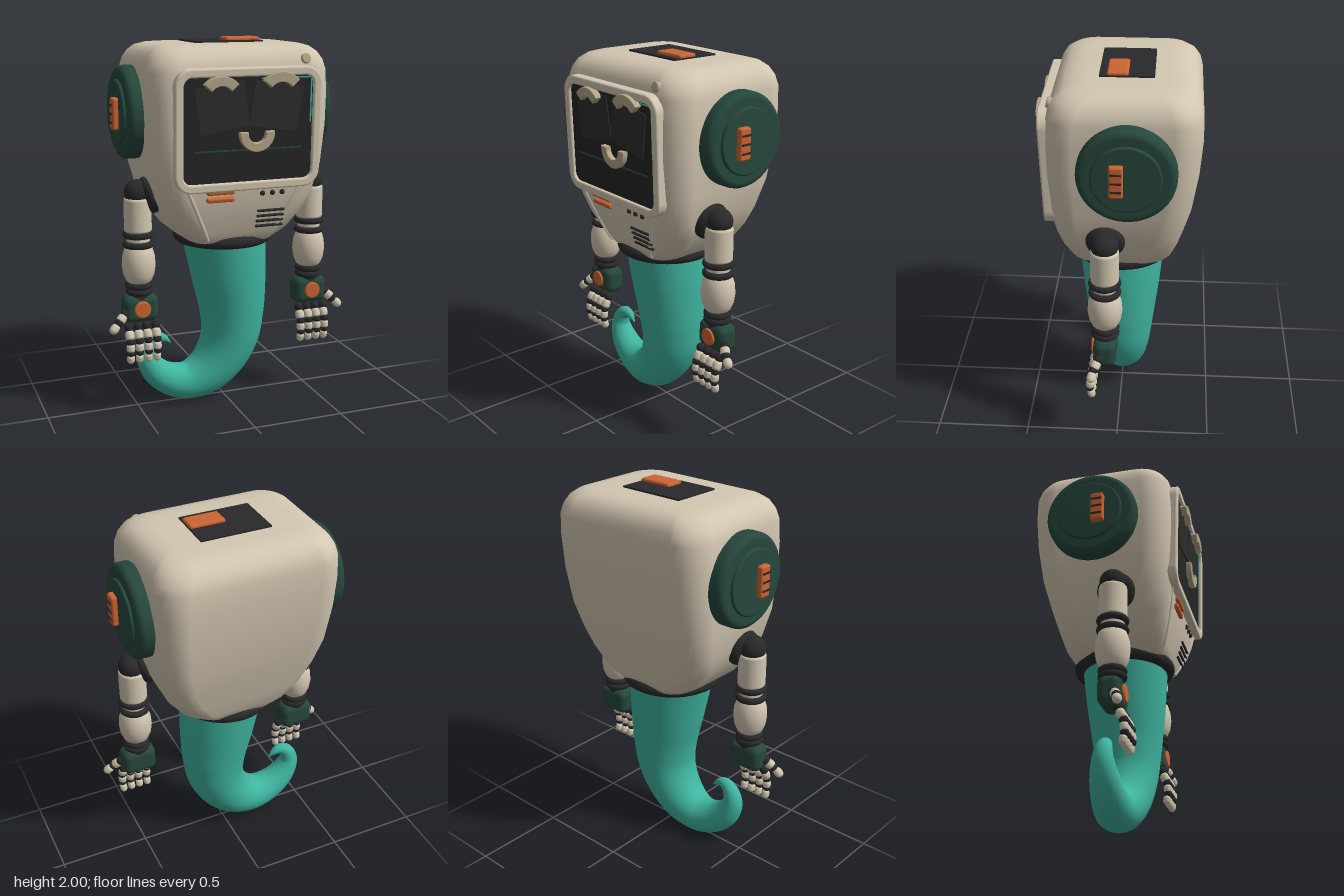
import * as THREE from 'three';
import { mergeVertices } from 'three/addons/utils/BufferGeometryUtils.js';
import { RoundedBoxGeometry } from 'three/addons/geometries/RoundedBoxGeometry.js';

const mat = (name, color) => Object.assign(new THREE.MeshStandardMaterial({ color }), { name });
const cream = mat('cream', 0xd3c7b1), tan = mat('tan', 0xb5a78a), black = mat('black', 0x29292b);
const screenGrey = mat('screenGrey', 0x252527), panelGrey = mat('panelGrey', 0x2d2d2e);
const green = mat('darkGreen', 0x26473c), teal = mat('teal', 0x3fb5a0), orange = mat('orange', 0xcb6433);
const V = (x, y, z = 0) => new THREE.Vector3(x, y, z);

function add(parent, name, geo, material, x = 0, y = 0, z = 0) {
  const m = new THREE.Mesh(geo, material);
  m.name = name;
  m.position.set(x, y, z);
  parent.add(m);
  return m;
}
const box = (w, h, d, r) => new RoundedBoxGeometry(w, h, d, 4, r);
const lathe = (pts, seg = 40) => new THREE.LatheGeometry(pts.map(p => new THREE.Vector2(p[0], p[1])), seg);
// Round puck along +y with a rounded rim on both ends
function puck(r, h, b, seg = 40) {
  const pts = [[0, 0]];
  for (let i = 0; i <= 5; i++) { const a = i * Math.PI / 10; pts.push([r - b + b * Math.sin(a), b - b * Math.cos(a)]); }
  for (let i = 0; i <= 5; i++) { const a = i * Math.PI / 10; pts.push([r - b + b * Math.cos(a), h - b + b * Math.sin(a)]); }
  pts.push([0, h]);
  return lathe(pts, seg);
}
// Rounded rectangle outline
function roundRect(w, h, r, Type = THREE.Shape) {
  const s = new Type(), x = w / 2, y = h / 2, q = Math.PI / 2;
  s.absarc(x - r, y - r, r, 0, q);
  s.absarc(-x + r, y - r, r, q, 2 * q);
  s.absarc(-x + r, -y + r, r, 2 * q, 3 * q);
  s.absarc(x - r, -y + r, r, 3 * q, 4 * q);
  s.closePath();
  return s;
}
// Banded arc for brows and smile
function arcBand(r0, r1, a0, a1, depth) {
  const s = new THREE.Shape();
  s.absarc(0, 0, r1, a0, a1, false);
  s.absarc(0, 0, r0, a1, a0, true);
  return new THREE.ExtrudeGeometry(s, { depth, curveSegments: 24, bevelThickness: 0.005, bevelSize: 0.004, bevelSegments: 2 });
}

// Body sections: y, half width, front z, back z, corner radius
const sections = [
  [0.94, 0.23, 0.23, 0.24, 0.13], [1.0, 0.315, 0.262, 0.275, 0.14], [1.1, 0.388, 0.295, 0.302, 0.14],
  [1.2, 0.432, 0.322, 0.328, 0.14], [1.35, 0.468, 0.345, 0.367, 0.14], [1.55, 0.486, 0.354, 0.397, 0.14],
  [1.72, 0.49, 0.354, 0.41, 0.14], [1.84, 0.487, 0.346, 0.409, 0.14], [1.89, 0.474, 0.333, 0.397, 0.14],
  [1.93, 0.449, 0.308, 0.372, 0.13], [1.957, 0.415, 0.27, 0.337, 0.12], [1.97, 0.37, 0.22, 0.29, 0.1], [1.975, 0.31, 0.16, 0.23, 0.08],
];
function bodyGeometry() {
  const K = 8, N = 4 * (K + 1), pos = [], idx = [];
  for (const [y, hx, zf, zb, r] of sections)
    for (let c = 0; c < 4; c++) {
      const cx = (c === 0 || c === 3 ? 1 : -1) * (hx - r), cz = c < 2 ? zf - r : r - zb;
      for (let i = 0; i <= K; i++) {
        const a = (c + i / K) * Math.PI / 2;
        pos.push(cx + r * Math.cos(a), y, cz + r * Math.sin(a));
      }
    }
  for (let j = 0; j < sections.length - 1; j++)
    for (let i = 0; i < N; i++) {
      const a = j * N + i, b = j * N + (i + 1) % N;
      idx.push(a, a + N, b, b, a + N, b + N);
    }
  const top = (sections.length - 1) * N, mid = pos.length / 3;
  pos.push(0, 1.976, -0.035, 0, 0.94, 0);
  for (let i = 0; i < N; i++) {
    const n = (i + 1) % N;
    idx.push(top + i, mid, top + n, i, n, mid + 1);
  }
  const g = new THREE.BufferGeometry();
  g.setAttribute('position', new THREE.Float32BufferAttribute(pos, 3));
  g.setIndex(idx);
  g.computeVertexNormals();
  return g;
}
function frontZ(y) {
  const i = sections.findIndex((s, k) => k > 0 && s[0] >= y), a = sections[i - 1], b = sections[i];
  return a[2] + (b[2] - a[2]) * (y - a[0]) / (b[0] - a[0]);
}
// Lays a part on the sloping chest
function onChest(parent, name, geo, material, x, y, lift = 0) {
  const m = add(parent, name, geo, material, x, y, frontZ(y) + lift);
  m.rotation.x = Math.atan((frontZ(y + 0.02) - frontZ(y - 0.02)) / 0.04);
}

function addFace(root) {
  const face = new THREE.Group();
  face.name = 'face';
  face.position.set(0.007, 1.557, 0.362);
  face.rotation.x = 0.03;
  root.add(face);
  const frame = roundRect(0.765, 0.6, 0.08);
  frame.holes.push(roundRect(0.715, 0.55, 0.055, THREE.Path));
  add(face, 'screenBezel', new THREE.ExtrudeGeometry(frame, { depth: 0.04, bevelThickness: 0.01, bevelSize: 0.01, bevelSegments: 4, curveSegments: 10 }), cream, 0, 0, -0.033);
  add(face, 'screen', new THREE.ExtrudeGeometry(roundRect(0.73, 0.565, 0.06), { depth: 0.035, bevelEnabled: false }), screenGrey, 0, 0, -0.035);
  for (const s of [-1, 1]) {
    const panel = add(face, 'eyePanel', new THREE.BoxGeometry(0.265, 0.23, 0.006), panelGrey, s * 0.145 + 0.002, 0.115, 0.003);
    panel.rotation.z = -s * 0.15;
  }
  add(face, 'leftBrow', arcBand(0.075, 0.12, 0.72, 2.42, 0.03), tan, 0.163, 0.165, 0.003);
  add(face, 'rightBrow', arcBand(0.07, 0.112, 0.72, 2.42, 0.03), tan, -0.157, 0.158, 0.003);
  add(face, 'smile', arcBand(0.052, 0.09, Math.PI * 0.98, Math.PI * 2.02, 0.022), tan, 0.038, -0.018, 0.003);
  add(face, 'screenLine', new THREE.BoxGeometry(0.58, 0.008, 0.004), green, 0, -0.102, 0.002);
  add(face, 'screenGlintTop', new THREE.BoxGeometry(0.27, 0.007, 0.004), teal, 0.2, 0.255, 0.002);
  add(face, 'screenGlintSide', new THREE.BoxGeometry(0.007, 0.23, 0.004), teal, 0.338, 0.14, 0.002);
}

function addChest(root) {
  for (const y of [1.24, 1.2]) onChest(root, 'chestBar', box(0.15, 0.026, 0.03, 0.01), orange, -0.132, y, 0.004);
  for (const x of [0.1, 0.155, 0.21]) onChest(root, 'chestDot', new THREE.SphereGeometry(0.014, 16, 12), black, x, 1.218, 0.001);
  for (let i = 0; i < 4; i++) onChest(root, 'vent', box(0.155, 0.013, 0.016, 0.005), black, 0.158, 1.12 - i * 0.029, 0.002);
  for (const s of [-1, 1]) {
    const pts = [1.27, 1.2, 1.1, 1.0, 0.965].map(y => V(s * (0.17 + (y - 0.965) * 0.47), y, frontZ(y) - 0.004));
    add(root, 'chestSeam', new THREE.TubeGeometry(new THREE.CatmullRomCurve3(pts), 20, 0.011, 8), cream);
  }
  const knob = add(root, 'cornerButton', puck(0.027, 0.03, 0.008, 24), tan, 0.33, 1.895, 0.312);
  knob.rotation.x = Math.PI / 2 - 0.25;
}

function addEar(root, s) {
  const ear = new THREE.Group();
  ear.name = s > 0 ? 'leftEar' : 'rightEar';
  ear.position.set(s * 0.44, 1.62, -0.05);
  ear.rotation.z = -s * Math.PI / 2;
  root.add(ear);
  add(ear, 'earDisc', puck(0.243, 0.122, 0.034, 56), green);
  add(ear, 'earCap', puck(0.172, 0.138, 0.01, 48), green);
  add(root, 'earSwitch', box(0.05, 0.165, 0.07, 0.012), orange, s * 0.583, 1.62, -0.003);
  for (const y of [-0.045, 0, 0.045]) add(root, 'switchRidge', new THREE.BoxGeometry(0.014, 0.01, 0.055), black, s * 0.605, 1.62 + y, -0.003);
}

// Rod between two points, with round ends
function rod(parent, name, a, b, r, material) {
  const d = b.clone().sub(a), m = add(parent, name, new THREE.CapsuleGeometry(r, d.length(), 5, 14), material);
  m.position.copy(a).lerp(b, 0.5);
  m.quaternion.setFromUnitVectors(V(0, 1, 0), d.normalize());
}
function addFinger(parent, name, pts, r) {
  for (let i = 0; i < pts.length - 1; i++) {
    const k = r * (1 - 0.08 * i);
    add(parent, name + 'Joint', new THREE.SphereGeometry(k * 1.02, 14, 10), black, ...pts[i].toArray());
    rod(parent, name, pts[i].clone().lerp(pts[i + 1], 0.5), pts[i].clone().lerp(pts[i + 1], 0.68), k, cream);
  }
}

function addArm(root, s) {
  const arm = new THREE.Group();
  arm.name = s > 0 ? 'leftArm' : 'rightArm';
  arm.position.set(s * 0.495, 0, 0.06);
  root.add(arm);
  const socket = add(arm, 'shoulderSocket', puck(0.1, 0.1, 0.035), black, -s * 0.125, 1.215, 0);
  socket.rotation.z = -s * (Math.PI / 2 + 0.3);
  add(arm, 'shoulderBall', new THREE.SphereGeometry(0.07, 28, 20), black, 0, 1.212);
  add(arm, 'upperArm', puck(0.073, 0.19, 0.018, 32), cream, 0, 1.0);
  add(arm, 'elbowCore', new THREE.CylinderGeometry(0.062, 0.062, 0.1, 28), cream, 0, 0.965);
  add(arm, 'forearm', lathe([[0, 0.725], [0.055, 0.728], [0.068, 0.74], [0.083, 0.775], [0.09, 0.825], [0.086, 0.875], [0.072, 0.92], [0.055, 0.935], [0, 0.936]], 32), cream);
  add(arm, 'wristCore', new THREE.CylinderGeometry(0.055, 0.055, 0.1, 24), black, 0, 0.69);
  for (const [y, r] of [[0.99, 0.066], [0.937, 0.066], [0.713, 0.056], [0.68, 0.056]]) {
    const ring = add(arm, 'jointRing', new THREE.TorusGeometry(r, 0.018, 12, 36), black, 0, y);
    ring.rotation.x = Math.PI / 2;
  }
  add(arm, 'palm', box(0.19, 0.15, 0.12, 0.04), green, 0, 0.588);
  const badge = add(arm, 'palmBadge', puck(0.046, 0.03, 0.008, 32), orange, 0, 0.59, 0.042);
  badge.rotation.x = Math.PI / 2;
  for (let i = 0; i < 4; i++) {
    const x = (i - 1.5) * 0.049;
    addFinger(arm, 'finger', [V(x, 0.495, 0.045), V(x, 0.425, 0.075), V(x, 0.363, 0.08), V(x * 0.98, 0.3, 0.066)], 0.025);
  }
  addFinger(arm, 'thumb', [V(s * 0.09, 0.568, 0.03), V(s * 0.127, 0.53, 0.054), V(s * 0.175, 0.482, 0.07)], 0.026);
}

// Curling tail: x, y, radius along the centre line
function tailGeometry() {
  const path = [
    [0.005, 0.96, 0.232], [0.035, 0.72, 0.21], [0.055, 0.5, 0.182], [0.045, 0.36, 0.165], [-0.01, 0.235, 0.147], [-0.1, 0.145, 0.128],
    [-0.21, 0.107, 0.107], [-0.32, 0.132, 0.09], [-0.405, 0.2, 0.074], [-0.442, 0.285, 0.055], [-0.42, 0.355, 0.041],
    [-0.38, 0.38, 0.031], [-0.34, 0.368, 0.02], [-0.305, 0.338, 0.002],
  ];
  const centre = new THREE.CatmullRomCurve3(path.map(p => V(p[0], p[1])));
  const width = new THREE.CatmullRomCurve3(path.map((p, i) => V(i, p[2])), false, 'catmullrom');
  const rows = 120, ring = 36, g = new THREE.TubeGeometry(centre, rows, 1, ring), p = g.attributes.position, v = V(0, 0);
  for (let i = 0; i < p.count; i++) {
    const u = Math.floor(i / (ring + 1)) / rows, c = centre.getPointAt(u);
    const r = Math.max(0.001, width.getPoint(centre.getUtoTmapping(u)).y);
    v.fromBufferAttribute(p, i).sub(c).multiplyScalar(r).add(c);
    p.setXYZ(i, v.x, v.y, v.z);
  }
  g.deleteAttribute('normal');
  g.deleteAttribute('uv');
  const smooth = mergeVertices(g, 1e-5);
  smooth.computeVertexNormals();
  return smooth;
}

export function createModel() {
  const root = new THREE.Group();
  root.name = 'robot';
  add(root, 'body', bodyGeometry(), cream);
  addFace(root);
  addChest(root);
  add(root, 'topPlate', new THREE.BoxGeometry(0.375, 0.02, 0.27), black, 0, 1.974, -0.033);
  add(root, 'topButton', box(0.19, 0.035, 0.105, 0.012), orange, 0.092, 1.983, 0.012);
  for (const s of [-1, 1]) { addEar(root, s); addArm(root, s); }
  const collar = add(root, 'waistCollar', new THREE.TorusGeometry(0.238, 0.035, 16, 56), black, 0, 0.942, -0.003);
  collar.rotation.x = Math.PI / 2;
  add(root, 'tail', tailGeometry(), teal);
  return root;
}
